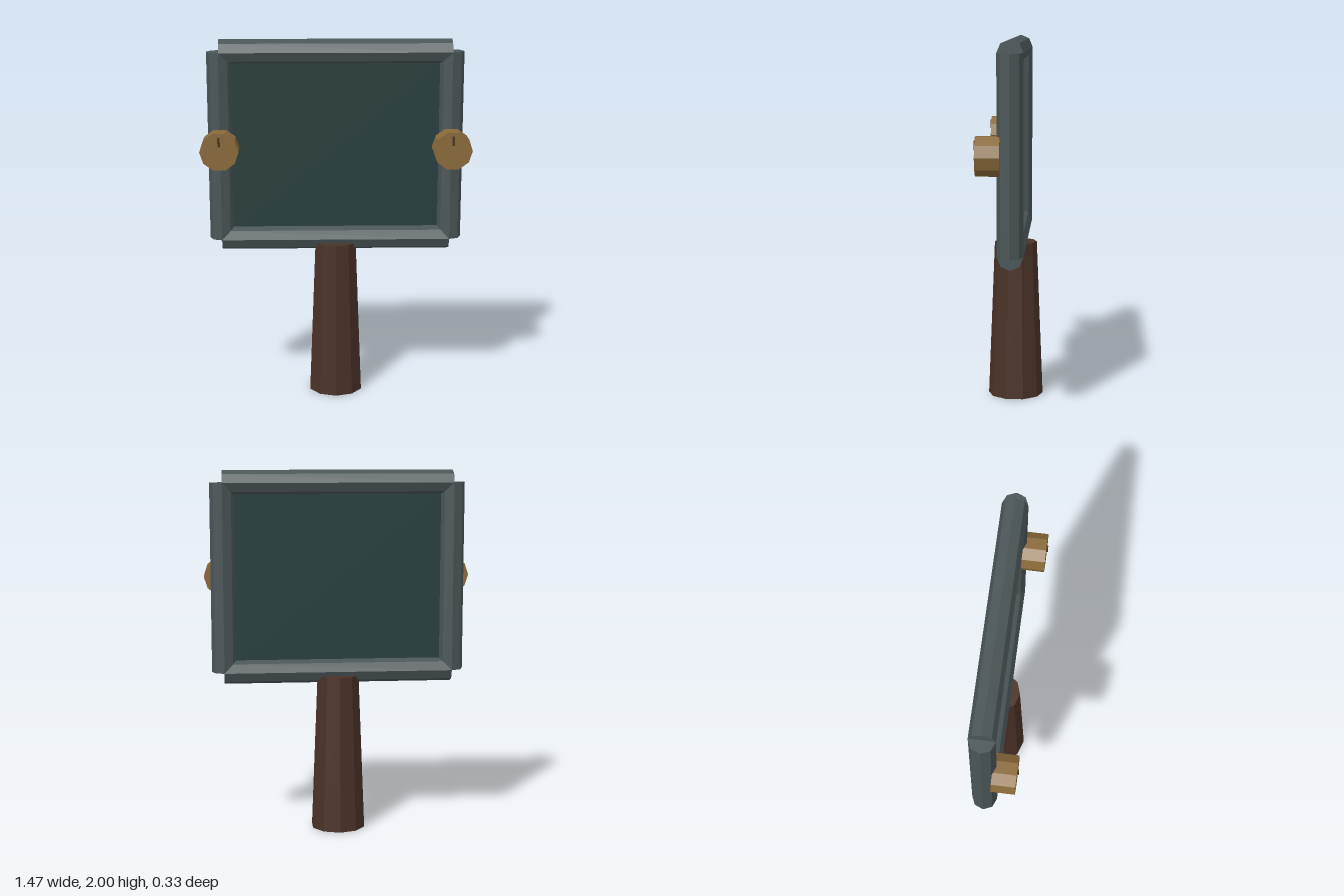
import * as THREE from 'three';

const flat = (name, color) => {
  const m = new THREE.MeshStandardMaterial({ color, flatShading: true });
  m.name = name;
  return m;
};

export function createModel() {
  const group = new THREE.Group();
  const slate = flat('slateFrame', 0x4a5557);
  const glass = flat('darkGlass', 0x263d3c);
  const wood = flat('darkWood', 0x4a3127);
  const brass = flat('agedBrass', 0x8a6a3a);
  const mark = flat('knobMark', 0x4a3820);

  const add = (name, geometry, material, x, y, z) => {
    const mesh = new THREE.Mesh(geometry, material);
    mesh.name = name;
    mesh.position.set(x, y, z);
    group.add(mesh);
    return mesh;
  };

  const Z = -0.017;            // plane of the frame
  const halfW = 0.63;          // bar centre lines
  const low = 0.895, high = 1.932;
  const midY = (low + high) / 2, height = high - low;
  const barR = 0.068;

  // Tapered ten-sided handle
  add('handle', new THREE.CylinderGeometry(0.117, 0.152, 0.87, 10), wood, 0, 0.435, Z);

  // Octagonal frame bars, overlapping at the corners
  const across = new THREE.CylinderGeometry(barR, barR, halfW * 2, 8).rotateZ(Math.PI / 2);
  const upright = new THREE.CylinderGeometry(barR, barR, height, 8);
  add('topBar', across, slate, 0, high, Z);
  add('bottomBar', across, slate, 0, low, Z);

  // Panel held between the bars
  add('panel', new THREE.BoxGeometry(halfW * 2, height, 0.02), glass, 0, midY, Z);

  // Side bars with their knobs and knob marks
  const knob = new THREE.CylinderGeometry(0.105, 0.105, 0.125, 10)
    .rotateY(Math.PI / 2).rotateX(Math.PI / 2);
  const pointer = new THREE.BoxGeometry(0.013, 0.05, 0.012);
  for (const [side, s] of [['left', 1], ['right', -1]]) {
    add(side + 'Bar', upright, slate, s * halfW, midY, Z);
    add(side + 'Knob', knob, brass, s * halfW, 1.415, 0.095);
    add(side + 'KnobMark', pointer, mark, s * halfW, 1.47, 0.16);
  }

  return group;
}
